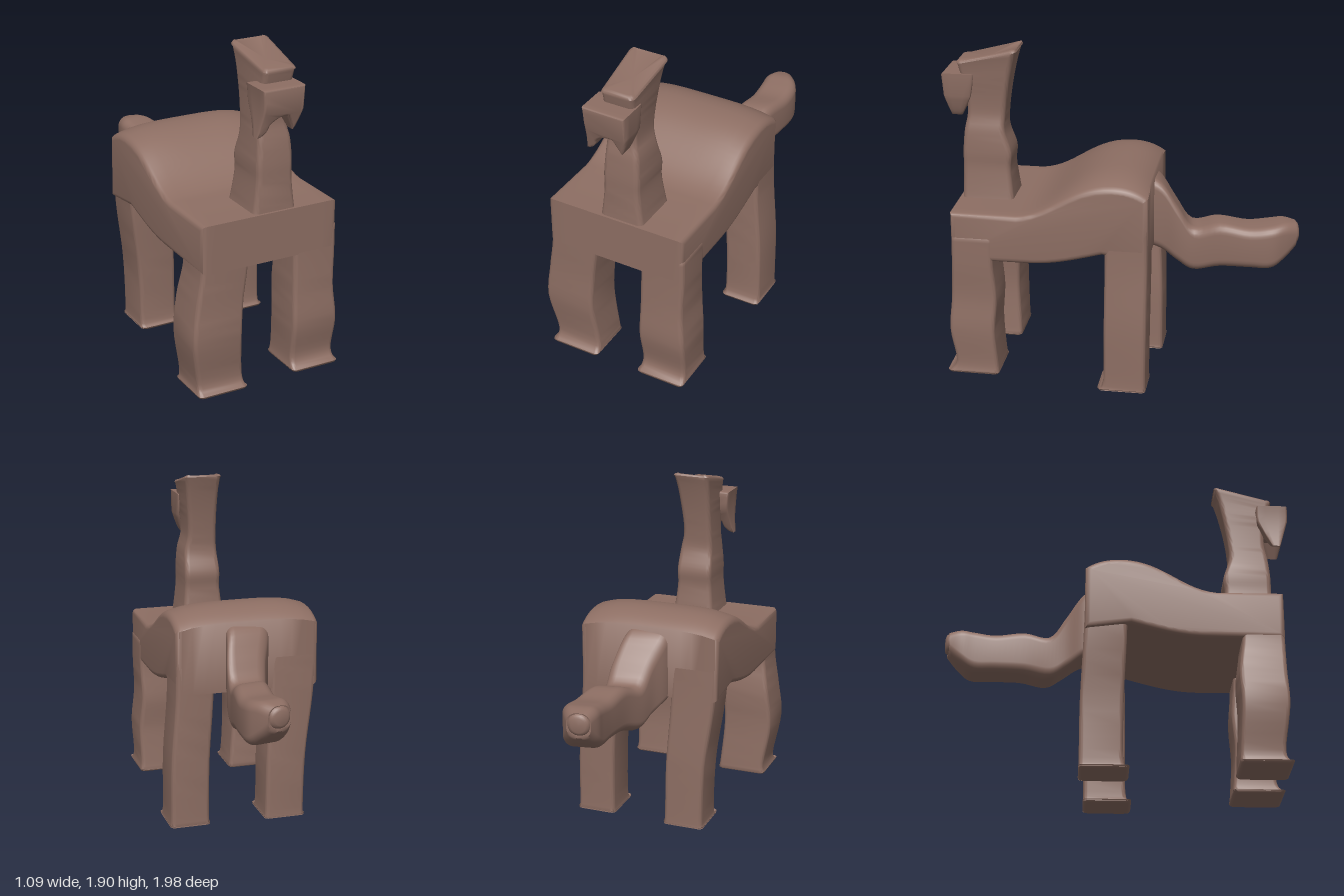
import * as THREE from 'three';
import { mergeVertices, toCreasedNormals } from 'three/addons/utils/BufferGeometryUtils.js';

const X = new THREE.Vector3(1, 0, 0), Y = new THREE.Vector3(0, 1, 0), Z = new THREE.Vector3(0, 0, 1);

// Lofts rounded rectangles along a smooth path.
// Each section is [x, y, z, half size along u, half size along v]; u x v points along the path.
function loft(sections, u, v, radius = 0.035, perSection = 5) {
  const centres = new THREE.CatmullRomCurve3(sections.map(s => new THREE.Vector3(s[0], s[1], s[2])), false, 'catmullrom', 0.5);
  const sizes = new THREE.CatmullRomCurve3(sections.map(s => new THREE.Vector3(s[3], s[4], 0)), false, 'catmullrom', 0.5);
  const n = (sections.length - 1) * perSection, pos = [], idx = [], ringSize = 28;
  const along = new THREE.Vector3().crossVectors(u, v);
  const p = new THREE.Vector3();
  const ring = (t, inset, push) => {
    const c = centres.getPoint(t), s = sizes.getPoint(t);
    const a = s.x - inset, b = s.y - inset, r = Math.min(radius, a, b);
    for (let k = 0; k < 4; k++) {
      const su = k === 0 || k === 3 ? 1 : -1, sv = k < 2 ? 1 : -1;
      for (let j = 0; j < 7; j++) {
        const ang = (k + j / 6) * Math.PI / 2;
        p.copy(c).addScaledVector(along, push)
          .addScaledVector(u, su * (a - r) + r * Math.cos(ang))
          .addScaledVector(v, sv * (b - r) + r * Math.sin(ang));
        pos.push(p.x, p.y, p.z);
      }
    }
  };
  // Rounded rims close both ends
  ring(0, 0.02, 0); ring(0, 0.006, 0.006); ring(0, 0, 0.018);
  for (let i = 1; i < n; i++) ring(i / n, 0, 0);
  ring(1, 0, -0.018); ring(1, 0.006, -0.006); ring(1, 0.02, 0);
  const rings = pos.length / 3 / ringSize;
  for (let i = 0; i < rings - 1; i++) {
    for (let j = 0; j < ringSize; j++) {
      const a = i * ringSize + j, b = i * ringSize + (j + 1) % ringSize;
      idx.push(a, b, a + ringSize, b, b + ringSize, a + ringSize);
    }
  }
  const c0 = centres.getPoint(0), c1 = centres.getPoint(1), m = rings * ringSize;
  pos.push(c0.x, c0.y, c0.z, c1.x, c1.y, c1.z);
  for (let j = 0; j < ringSize; j++) {
    const k = (j + 1) % ringSize, last = m - ringSize;
    idx.push(m, k, j, m + 1, last + j, last + k);
  }
  const g = new THREE.BufferGeometry();
  g.setAttribute('position', new THREE.Float32BufferAttribute(pos, 3));
  g.setIndex(idx);
  return g;
}

// Moves each vertex by a rule, then shades smoothly with sharp edges kept
function finish(geometry, rule) {
  const pos = geometry.attributes.position, p = new THREE.Vector3();
  if (rule) {
    for (let i = 0; i < pos.count; i++) {
      p.fromBufferAttribute(pos, i);
      rule(p);
      pos.setXYZ(i, p.x, p.y, p.z);
    }
  }
  geometry.deleteAttribute('uv');
  geometry.deleteAttribute('normal');
  return toCreasedNormals(mergeVertices(geometry, 1e-4), 0.9);
}

export function createModel() {
  const clay = new THREE.MeshStandardMaterial({ color: 0x8d6e63 });
  clay.name = 'brown clay';
  const root = new THREE.Group();
  root.name = 'animal';
  const figure = new THREE.Group();
  figure.name = 'turnedFigure';
  figure.rotation.y = -0.18;
  root.add(figure);
  const add = (parent, name, geometry, rule) => {
    const mesh = new THREE.Mesh(finish(geometry, rule), clay);
    mesh.name = name;
    parent.add(mesh);
  };

  // Body: side outline with a humped rump, extruded across
  const side = new THREE.Shape();
  side.moveTo(0.872, 0.75);
  side.lineTo(0.872, 1.03);
  side.lineTo(0.5, 1.03);
  side.bezierCurveTo(0.3, 1.05, 0.2, 1.27, -0.04, 1.27);
  side.bezierCurveTo(-0.13, 1.27, -0.19, 1.24, -0.235, 1.2);
  side.lineTo(-0.235, 0.8);
  side.lineTo(0.02, 0.83);
  side.bezierCurveTo(0.2, 0.78, 0.3, 0.75, 0.46, 0.75);
  side.closePath();
  const body = new THREE.ExtrudeGeometry(side, {
    depth: 0.77, steps: 12, curveSegments: 14,
    bevelThickness: 0.03, bevelSize: 0.03, bevelOffset: -0.03, bevelSegments: 4,
  });
  body.translate(0, 0, -0.385);
  body.rotateY(-Math.PI / 2);
  body.translate(0.056, 0, 0);
  add(figure, 'body', body, p => {
    const edge = Math.abs(p.x - 0.056) / 0.415;
    if (p.y > 1.03) p.y -= 0.05 * edge ** 4 * (p.y - 1.03) / 0.24;
  });

  // Legs, from foot to hip, with feet flaring forward
  const legs = {
    leftFrontLeg: [
      [0.345, 0.045, 0.765, 0.15, 0.145], [0.345, 0.12, 0.745, 0.122, 0.135], [0.345, 0.32, 0.765, 0.13, 0.14],
      [0.338, 0.52, 0.752, 0.13, 0.13], [0.342, 0.72, 0.755, 0.118, 0.132], [0.342, 0.9, 0.752, 0.118, 0.132]],
    rightFrontLeg: [
      [-0.225, 0.015, 0.745, 0.145, 0.15], [-0.225, 0.09, 0.725, 0.122, 0.14], [-0.255, 0.34, 0.745, 0.13, 0.15],
      [-0.24, 0.55, 0.74, 0.13, 0.145], [-0.215, 0.74, 0.752, 0.118, 0.142], [-0.215, 0.9, 0.752, 0.118, 0.142]],
    leftRearLeg: [
      [0.395, 0.005, -0.095, 0.138, 0.118], [0.395, 0.07, -0.11, 0.12, 0.112], [0.39, 0.4, -0.113, 0.12, 0.112],
      [0.365, 0.75, -0.115, 0.12, 0.11], [0.356, 1.05, -0.115, 0.118, 0.112]],
    rightRearLeg: [
      [-0.16, 0.01, -0.125, 0.138, 0.122], [-0.16, 0.07, -0.14, 0.12, 0.115], [-0.17, 0.4, -0.138, 0.12, 0.118],
      [-0.205, 0.75, -0.122, 0.12, 0.13], [-0.22, 1.05, -0.115, 0.118, 0.135]],
  };
  for (const [name, sections] of Object.entries(legs)) add(figure, name, loft(sections, Z, X, 0.025));

  // Neck and head: the back of the crown rises into two ears
  add(figure, 'neckAndHead', loft([
    [0.09, 0.98, 0.71, 0.15, 0.14], [0.09, 1.05, 0.712, 0.145, 0.125], [0.09, 1.2, 0.718, 0.136, 0.108],
    [0.09, 1.3, 0.715, 0.138, 0.108], [0.09, 1.42, 0.728, 0.115, 0.1], [0.082, 1.52, 0.718, 0.108, 0.088],
    [0.085, 1.65, 0.712, 0.12, 0.09], [0.09, 1.75, 0.715, 0.143, 0.1], [0.095, 1.83, 0.71, 0.165, 0.115]],
  Z, X, 0.03), p => {
    const top = THREE.MathUtils.smoothstep(p.y, 1.66, 1.83);
    const back = THREE.MathUtils.clamp((0.74 - p.z) / 0.19, 0, 1);
    const ear = Math.min(1, Math.abs(p.x - 0.095) / 0.085);
    p.y += top * back * (0.025 + 0.055 * ear);
    p.z -= top * back * 0.015;
    p.x += top * (1 - back) * (0.09 - p.x) * 0.15;
  });

  // Snout with two pointed tusks hanging below
  const face = new THREE.Shape();
  face.moveTo(0.19, 1.75);
  face.lineTo(-0.06, 1.75);
  face.quadraticCurveTo(-0.04, 1.62, -0.065, 1.48);
  face.quadraticCurveTo(-0.01, 1.49, 0.0, 1.55);
  face.quadraticCurveTo(0.05, 1.6, 0.105, 1.59);
  face.lineTo(0.145, 1.5);
  face.quadraticCurveTo(0.165, 1.52, 0.19, 1.62);
  face.closePath();
  const snout = new THREE.ExtrudeGeometry(face, {
    depth: 0.16, steps: 4, curveSegments: 8,
    bevelThickness: 0.012, bevelSize: 0.012, bevelOffset: -0.012, bevelSegments: 3,
  });
  snout.translate(0, 0, 0.79);
  add(figure, 'snout', snout, p => {
    const low = THREE.MathUtils.clamp((1.66 - p.y) / 0.18, 0, 1);
    p.z += (0.895 - p.z) * low * 0.75;
  });

  // Tail, hanging from the rump and swinging to the left
  add(root, 'tail', loft([
    [0.07, 1.0, -0.12, 0.21, 0.13], [0.11, 0.96, -0.24, 0.2, 0.13], [0.165, 0.87, -0.33, 0.165, 0.12],
    [0.2, 0.79, -0.42, 0.13, 0.112], [0.255, 0.83, -0.56, 0.13, 0.108], [0.3, 0.83, -0.72, 0.118, 0.112],
    [0.32, 0.84, -0.84, 0.125, 0.11], [0.315, 0.87, -0.92, 0.105, 0.095], [0.31, 0.9, -1.0, 0.06, 0.06]],
  Y, X, 0.055));

  return root;
}
